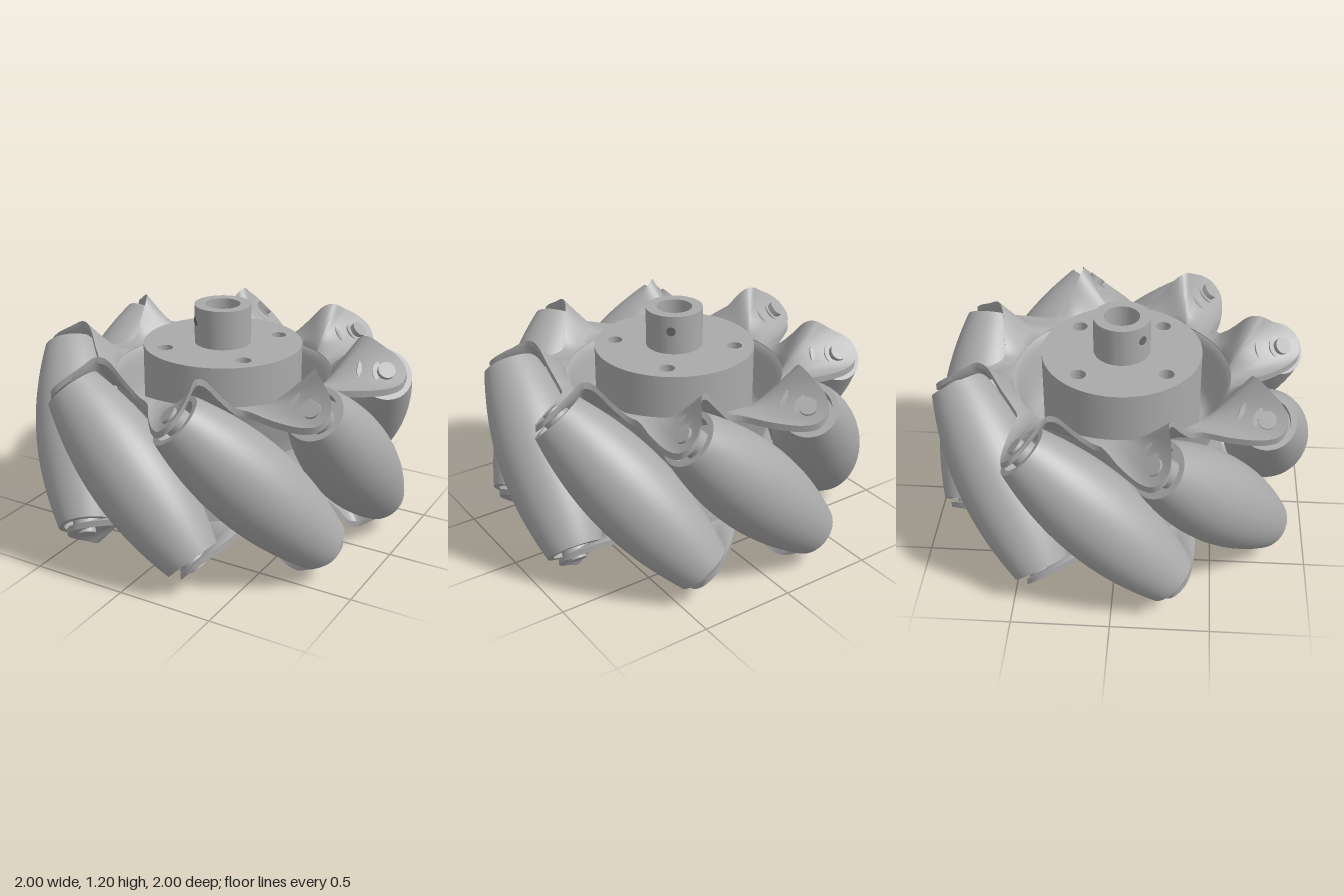
import * as THREE from 'three';
import { toCreasedNormals } from 'three/addons/utils/BufferGeometryUtils.js';

const COUNT = 8, STEP = Math.PI / 4, DEG = Math.PI / 180;
const AXIS_R = 0.775;          // distance of roller centres from the wheel axis
const MID = 0.535;             // height of the wheel's middle plane
const v2 = (x, y) => new THREE.Vector2(x, y);
const polar = (phi, r, y) => new THREE.Vector3(r * Math.sin(phi), y, r * Math.cos(phi));

// Barrel that touches a cylinder of radius 1 when tilted by 45 degrees, with recessed ends
function rollerGeometry() {
  const barrel = [];
  for (let i = 0; i <= 24; i++) {
    const t = -0.47 + 0.94 * i / 24;
    const rho = Math.hypot(AXIS_R, t * Math.SQRT1_2);
    const slope = t / 2 / rho, gap = 1 - rho;
    barrel.push(v2(gap * Math.sqrt(1 - 2 * slope * slope), t + gap * slope));
  }
  const end = barrel[24].y;
  const points = [v2(0.03, -0.43), v2(0.115, -0.43), v2(0.115, -end), ...barrel,
    v2(0.115, end), v2(0.115, 0.43), v2(0.03, 0.43)];
  return toCreasedNormals(new THREE.LatheGeometry(points, 40), 0.6);
}

// Star flange: ruled from a ring to a wavy edge of eight bent tabs, with thickness
function flangeGeometry() {
  // tab edge in the plane square to the roller axis: [radial, across, ring angle]
  const tab = [[0.46, -0.09, -46], [0.62, -0.105, -45], [0.775, -0.1, -43], [0.847, -0.07, -41],
    [0.877, 0, -39], [0.845, 0.075, -36], [0.78, 0.14, -33], [0.715, 0.195, -30]];
  const arm = tab.map(([s, q, a]) => [
    new THREE.Vector3(-0.395 + q * Math.SQRT1_2, 0.395 + q * Math.SQRT1_2, s), a]);
  arm.push([new THREE.Vector3(-0.215, 0.52, 0.685), -26],
    [new THREE.Vector3(-0.13, 0.425, 0.66), -14],
    [new THREE.Vector3(-0.05, 0.345, 0.64), -6]);
  const edge = [], ring = [];
  const up = new THREE.Vector3(0, 1, 0);
  for (let k = 0; k < COUNT; k++) {
    for (const [p, a] of arm) {
      edge.push(p.clone().applyAxisAngle(up, k * STEP));
      ring.push(polar(a * DEG + k * STEP, 0.572, 0.322));
    }
  }
  const outer = new THREE.CatmullRomCurve3(edge, true);
  const inner = new THREE.CatmullRomCurve3(ring, true);
  const cols = edge.length * 5, rows = 6, loop = rows * 2;
  const pos = [], index = [];
  for (let i = 0; i < cols; i++) {
    const a = inner.getPoint(i / cols), b = outer.getPoint(i / cols);
    for (let j = 0; j < loop; j++) {
      const under = j >= rows;
      const p = a.clone().lerp(b, (under ? loop - 1 - j : j) / (rows - 1));
      pos.push(p.x, p.y - (under ? 0.034 : 0), p.z);
      const n = (i + 1) % cols, m = (j + 1) % loop;
      const c00 = i * loop + j, c01 = i * loop + m, c10 = n * loop + j, c11 = n * loop + m;
      index.push(c00, c01, c10, c01, c11, c10);
    }
  }
  const g = new THREE.BufferGeometry();
  g.setAttribute('position', new THREE.Float32BufferAttribute(pos, 3));
  g.setIndex(index);
  return toCreasedNormals(g, 0.7);
}

// Flared wall from the web out to the flange
function bowlGeometry() {
  const points = [[0.5, 0], [0.51, 0.05], [0.53, 0.11], [0.552, 0.19], [0.566, 0.25], [0.58, 0.288],
    [0.58, 0.322], [0.562, 0.31], [0.546, 0.275], [0.53, 0.21], [0.51, 0.13], [0.49, 0.07],
    [0.465, 0.035], [0.44, 0.022], [0.4, 0.018]].map(p => v2(...p));
  return toCreasedNormals(new THREE.LatheGeometry(points, 96), 0.7);
}

// Flat disc standing from y0 to y1, holes given as [radius, distance, angle in degrees]
function discGeometry(radius, y0, y1, holes) {
  const shape = new THREE.Shape().absarc(0, 0, radius, 0, Math.PI * 2, false);
  for (const [r, d, a] of holes) {
    const h = new THREE.Path();
    h.absarc(d * Math.sin(a * DEG), -d * Math.cos(a * DEG), r, 0, Math.PI * 2, true);
    shape.holes.push(h);
  }
  const g = new THREE.ExtrudeGeometry(shape, { depth: y1 - y0, bevelEnabled: false, curveSegments: 48 });
  g.rotateX(-Math.PI / 2).translate(0, y0, 0);
  return toCreasedNormals(g, 0.6);
}

export function createModel() {
  const grey = new THREE.MeshStandardMaterial({ color: 0xaaaaaa });
  grey.name = 'grey';
  const shade = new THREE.MeshStandardMaterial({ color: 0x6a6a6a });
  shade.name = 'holeGrey';
  const add = (parent, name, geometry, material = grey) => {
    const m = new THREE.Mesh(geometry, material);
    m.name = name;
    parent.add(m);
    return m;
  };
  const model = new THREE.Group();
  model.name = 'omnidirectionalWheel';
  const wheel = new THREE.Group();
  wheel.name = 'wheel';
  wheel.position.y = MID;
  wheel.rotation.y = -5 * DEG;
  model.add(wheel);

  // Rollers, each with a bushing and a pin through both tabs
  const roller = rollerGeometry();
  const bushing = new THREE.CylinderGeometry(0.07, 0.07, 1.07, 24);
  const pin = new THREE.CylinderGeometry(0.045, 0.045, 1.125, 20);
  for (let k = 0; k < COUNT; k++) {
    const arm = new THREE.Group();
    arm.name = 'rollerUnit';
    arm.rotation.y = k * STEP;
    const tilt = new THREE.Group();
    tilt.name = 'tiltedAxle';
    tilt.position.z = AXIS_R;
    tilt.rotation.z = Math.PI / 4;
    add(tilt, 'roller', roller);
    add(tilt, 'bushing', bushing);
    add(tilt, 'pin', pin);
    arm.add(tilt);
    wheel.add(arm);
  }

  // Two equal rims, the lower one turned over
  const flange = flangeGeometry(), bowl = bowlGeometry();
  for (const turn of [0, Math.PI]) {
    const rim = new THREE.Group();
    rim.name = turn ? 'lowerRim' : 'upperRim';
    rim.rotation.z = turn;
    add(rim, 'starFlange', flange);
    add(rim, 'bowlWall', bowl);
    wheel.add(rim);
  }

  // Hub: web, boss and shaft collar
  const bolts = [0, 1, 2, 3].map(k => [0.04, 0.315, 54 + 90 * k]);
  const extra = [0, 1, 2, 3].map(k => [0.05, 0.315, 9 + 90 * k]);
  add(wheel, 'web', discGeometry(0.47, -0.018, 0.018, [[0.092, 0, 0], ...bolts, ...extra]));
  add(wheel, 'boss', discGeometry(0.417, 0.018, 0.465, [[0.092, 0, 0], ...bolts]));
  add(wheel, 'shaftCollar', discGeometry(0.148, 0.465, 0.67, [[0.092, 0, 0]]));

  // Set screw holes on opposite sides of the collar
  for (const a of [-36, 144]) {
    const hole = add(wheel, 'setScrewHole', new THREE.CylinderGeometry(0.024, 0.024, 0.006, 20), shade);
    hole.position.copy(polar(a * DEG, 0.1475, 0.59));
    hole.rotation.set(Math.PI / 2, 0, -a * DEG);
  }
  return model;
}
